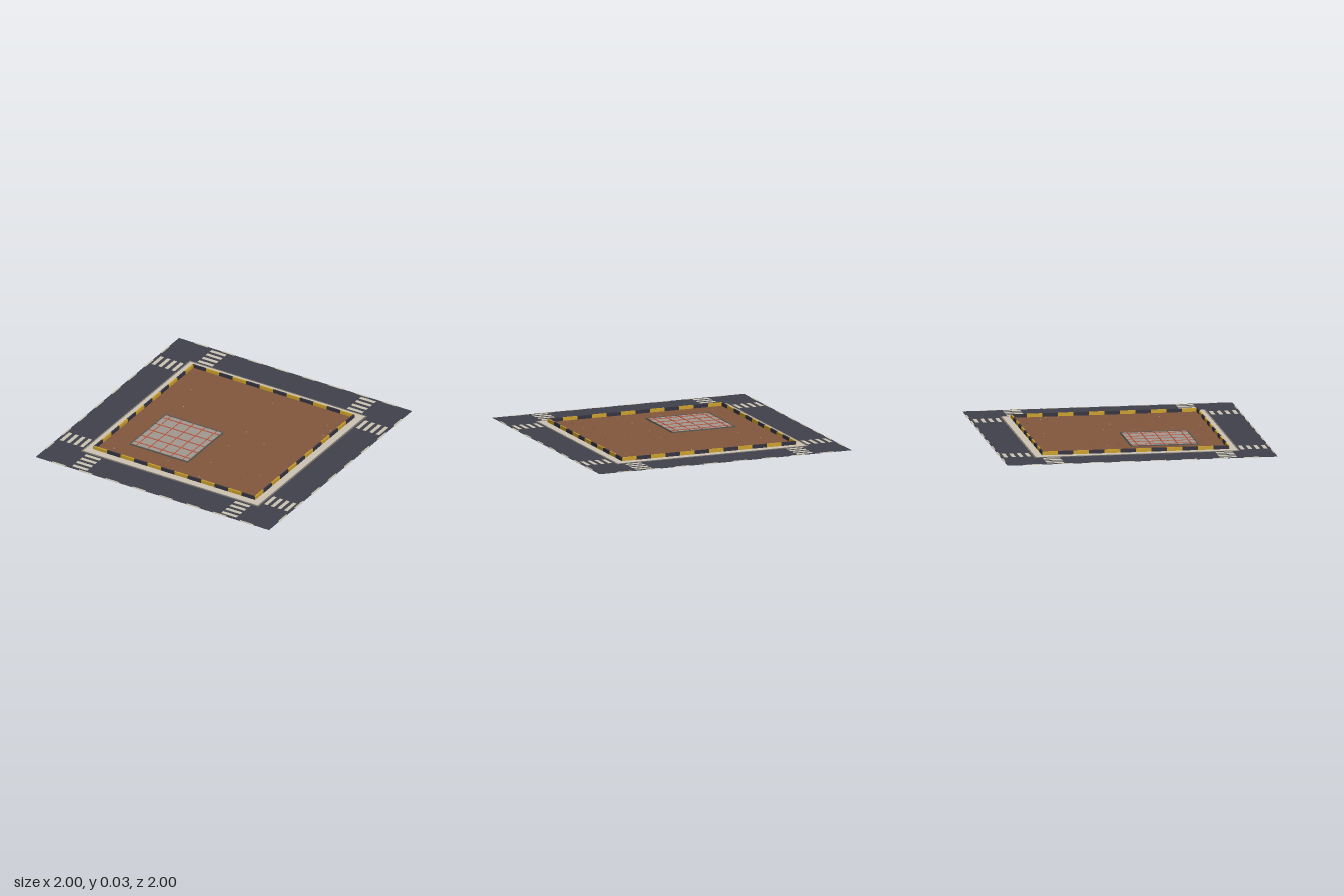
import * as THREE from 'three';

const mat = (name, color) => {
  const m = new THREE.MeshStandardMaterial({ color });
  m.name = name;
  return m;
};

export function createModel() {
  const asphalt = mat('asphalt', 0x41414d);
  const paint = mat('road paint', 0xcac4b2);
  const paving = mat('paving', 0xcdc4b5);
  const curbGrey = mat('curb grey', 0x77736b);
  const soil = mat('soil', 0x83583e);
  const concrete = mat('concrete', 0xa09a91);
  const formwork = mat('formwork', 0x5c5853);
  const steel = mat('rusty steel', 0xc2543c);
  const yellow = mat('barrier yellow', 0xcca02c);
  const dark = mat('barrier dark', 0x35333f);

  const model = new THREE.Group();
  model.name = 'constructionLot';

  // Box given by its centre in plan, its footprint and its bottom and top heights
  const box = (parent, name, material, x, z, w, d, y0, y1) => {
    const m = new THREE.Mesh(new THREE.BoxGeometry(w, y1 - y0, d), material);
    m.name = name;
    m.position.set(x, (y0 + y1) / 2, z);
    parent.add(m);
    return m;
  };

  // Square frame standing on y0
  const frame = (parent, name, material, x, z, outer, inner, y0, y1) => {
    const s = new THREE.Shape();
    s.moveTo(-outer, -outer).lineTo(outer, -outer).lineTo(outer, outer).lineTo(-outer, outer).closePath();
    const h = new THREE.Path();
    h.moveTo(-inner, -inner).lineTo(-inner, inner).lineTo(inner, inner).lineTo(inner, -inner).closePath();
    s.holes.push(h);
    const g = new THREE.ExtrudeGeometry(s, { depth: y1 - y0, bevelEnabled: false });
    g.rotateX(-Math.PI / 2);
    const m = new THREE.Mesh(g, material);
    m.name = name;
    m.position.set(x, y0, z);
    parent.add(m);
  };

  // Ground layers
  box(model, 'road', asphalt, 0, 0, 1.99, 1.99, 0, 0.002);
  frame(model, 'curb', curbGrey, 0, 0, 0.757, 0.742, 0.001, 0.005);
  frame(model, 'sidewalk', paving, 0, 0, 0.745, 0.68, 0.001, 0.006);
  box(model, 'dirtLot', soil, 0, 0, 1.37, 1.37, 0.001, 0.007);

  // Each side of the block: edge dashes, two crosswalks and a striped barrier
  for (let k = 0; k < 4; k++) {
    const side = new THREE.Group();
    side.name = 'blockSide' + (k + 1);
    side.rotation.y = k * Math.PI / 2;
    model.add(side);
    for (let i = 0; i < 8; i++) {
      box(side, 'laneDash', paint, (i - 3.5) * 0.229, 0.9935, 0.113, 0.013, 0.0005, 0.0035);
    }
    for (const sx of [-1, 1]) {
      for (let i = 0; i < 4; i++) {
        box(side, 'crosswalkStripe', paint, sx * 0.637, 0.787 + i * 0.0565, 0.128, 0.028, 0.001, 0.0035);
      }
    }
    for (let i = 0; i < 12; i++) {
      box(side, 'barrierPanel', i % 2 ? dark : yellow, (i - 5.5) * 0.1145, 0.685, 0.1145, 0.011, 0.004, 0.032);
    }
  }

  // Foundation slab with formwork and a reinforcing grid
  const slab = new THREE.Group();
  slab.name = 'foundation';
  slab.position.set(-0.252, 0, 0.248);
  model.add(slab);
  box(slab, 'slab', concrete, 0, 0, 0.485, 0.485, 0.005, 0.012);
  frame(slab, 'formworkFrame', formwork, 0, 0, 0.249, 0.24, 0.005, 0.015);
  for (let i = -2; i <= 2; i++) {
    box(slab, 'rebarLengthwise', steel, i * 0.0985, 0, 0.006, 0.475, 0.011, 0.015);
    box(slab, 'rebarCrosswise', steel, 0, i * 0.0985, 0.475, 0.006, 0.012, 0.016);
  }

  // Loose stones on the dirt, as x, z pairs
  const stones = [
    -0.07, -0.59, 0.08, -0.55, 0.47, -0.61, -0.53, -0.40, -0.34, -0.27, -0.45, -0.17,
    -0.41, -0.08, 0.58, -0.49, 0.59, -0.44, 0.64, -0.44, 0.60, -0.34, 0.63, -0.35,
    0.02, -0.18, 0.13, -0.10, 0.20, -0.15, 0.33, -0.02, 0.52, 0.01, 0.12, 0.13,
    0.36, 0.22, 0.14, 0.41, 0.45, 0.40, 0.54, 0.38, -0.59, 0.50, -0.57, 0.60,
    -0.26, 0.55, -0.14, 0.55, 0.28, 0.55, 0.17, 0.62, 0.55, 0.57,
  ];
  const stoneGeometry = new THREE.DodecahedronGeometry(0.006);
  for (let i = 0; i < stones.length; i += 2) {
    const m = new THREE.Mesh(stoneGeometry, i % 4 ? concrete : formwork);
    m.name = 'stone';
    m.position.set(stones[i], 0.008, stones[i + 1]);
    m.rotation.y = i;
    m.scale.set(1, 0.6, 0.7);
    model.add(m);
  }

  return model;
}
